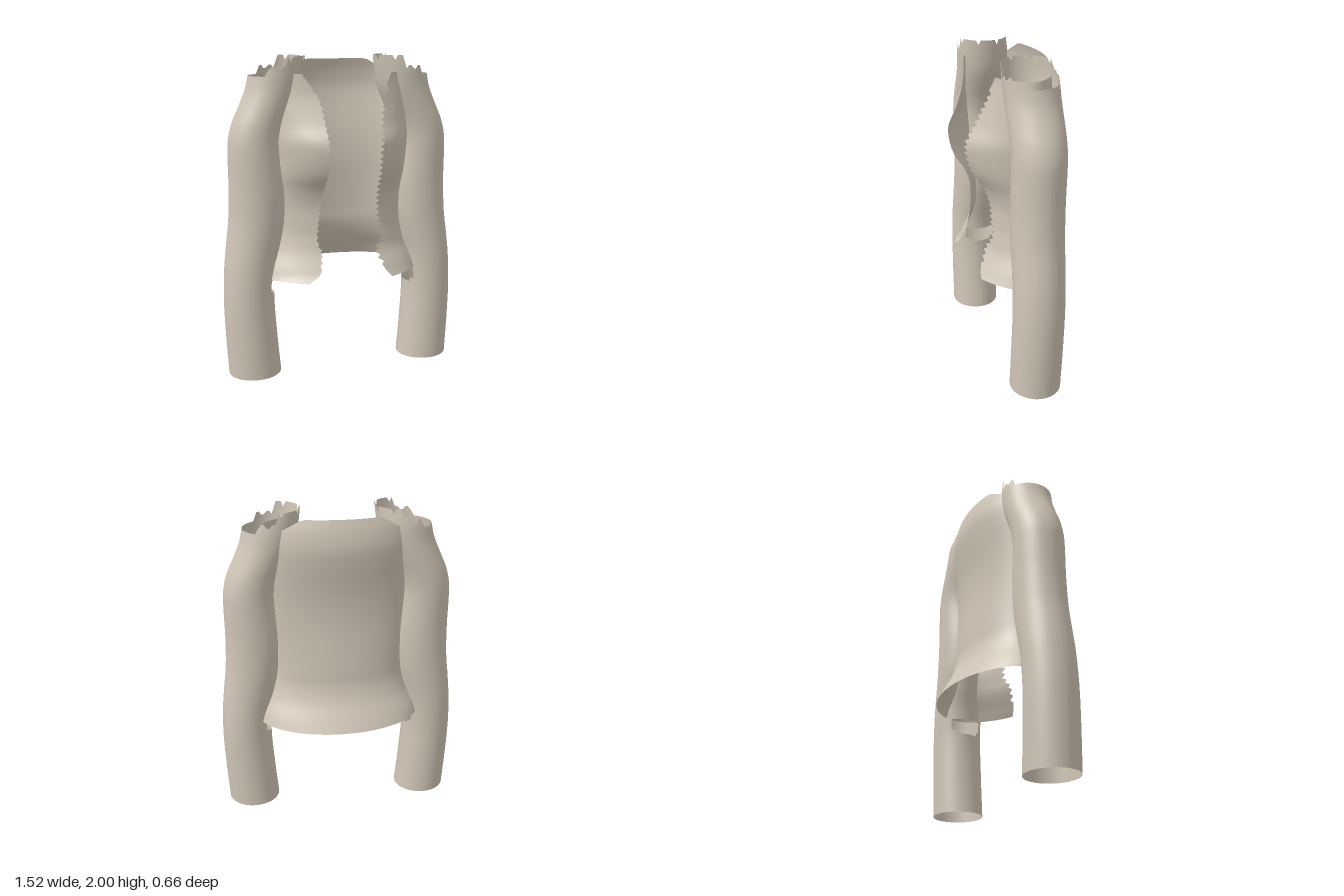
import * as THREE from 'three';

const cloth = new THREE.MeshStandardMaterial({ color: 0xd0c5b6, side: THREE.DoubleSide });
cloth.name = 'beige cloth';

// Smooth lookup in rows of [y, value, value, ...]
function sample(rows, y, k) {
  const n = rows.length - 1;
  let i = 0;
  while (i < n - 1 && y > rows[i + 1][0]) i++;
  const slope = (j) => {
    const p = rows[Math.max(j - 1, 0)], q = rows[Math.min(j + 1, n)];
    return (q[k] - p[k]) / (q[0] - p[0]);
  };
  const h = rows[i + 1][0] - rows[i][0];
  const t = Math.min(1, Math.max(0, (y - rows[i][0]) / h));
  const t2 = t * t, t3 = t2 * t;
  return rows[i][k] * (2 * t3 - 3 * t2 + 1) + rows[i + 1][k] * (3 * t2 - 2 * t3)
    + h * (slope(i) * (t3 - 2 * t2 + t) + slope(i + 1) * (t3 - t2));
}

// Open sheet from a point rule; keep(i, j) can leave cells out
function sheet(name, nu, nv, point, keep = () => true) {
  const pos = [], index = [];
  for (let j = 0; j <= nv; j++)
    for (let i = 0; i <= nu; i++) pos.push(...point(i, j));
  for (let j = 0; j < nv; j++)
    for (let i = 0; i < nu; i++) {
      if (!keep(i, j)) continue;
      const a = j * (nu + 1) + i, b = a + 1, c = a + nu + 1, d = c + 1;
      index.push(a, c, b, b, c, d);
    }
  const g = new THREE.BufferGeometry();
  g.setAttribute('position', new THREE.Float32BufferAttribute(pos, 3));
  g.setIndex(index);
  g.computeVertexNormals();
  const mesh = new THREE.Mesh(g, cloth);
  mesh.name = name;
  return mesh;
}

// Body: y, half width, back depth, front depth at the flap edge
const body = [
  [0.635, 0.53, 0.33, 0.27], [0.7, 0.51, 0.295, 0.25], [0.8, 0.46, 0.24, 0.21],
  [0.9, 0.43, 0.208, 0.182], [1.0, 0.42, 0.2, 0.18], [1.1, 0.422, 0.192, 0.185],
  [1.2, 0.427, 0.185, 0.22], [1.3, 0.435, 0.18, 0.285], [1.4, 0.44, 0.182, 0.32],
  [1.5, 0.447, 0.19, 0.325], [1.6, 0.452, 0.205, 0.275], [1.7, 0.457, 0.222, 0.235],
  [1.8, 0.46, 0.232, 0.2], [1.9, 0.45, 0.22, 0.172], [1.97, 0.43, 0.2, 0.165],
];
// Front edges: y, distance of right edge, distance of left edge
const edge = [
  [0.635, 0.27, 0.27], [0.68, 0.2, 0.23], [0.8, 0.17, 0.17], [0.88, 0.19, 0.21],
  [1.0, 0.18, 0.19], [1.2, 0.16, 0.175], [1.4, 0.145, 0.16], [1.55, 0.155, 0.17],
  [1.7, 0.17, 0.2], [1.77, 0.19, 0.225], [1.84, 0.24, 0.25], [1.9, 0.28, 0.28], [1.97, 0.31, 0.31],
];

function bodyPoint(i, j, nu, nv) {
  const u = (i / nu) * 2 - 1;                       // -1 right flap, 0 back, +1 left flap
  const top = Math.abs(u) < 0.24 ? 1.97 : Math.max(1.9, 1.97 - (Math.abs(u) - 0.24) * 0.6);
  const y = Math.min(top, 0.635 + (1.335 * j) / nv);
  const a = sample(body, y, 1), back = sample(body, y, 2), front = sample(body, y, 3);
  const torn = y > 0.7 && y < 1.8 && j % 2 ? (u > 0 ? 0.028 : 0.012) : 0;
  const plain = sample(edge, y, u < 0 ? 1 : 2);
  const end = Math.PI - Math.asin((plain + torn) / a);
  const t = u * end;
  const p = 1.2, depth = front / Math.pow(Math.sqrt(1 - (plain / a) ** 2), p);
  const c = Math.cos(t);
  return [a * Math.sin(t), y, c > 0 ? -back * c : depth * Math.pow(-c, p)];
}

// Sleeve: y, inner x, outer x, back z, front z
const sleeve = [
  [0, 0.41, 0.745, -0.13, 0.185], [0.25, 0.43, 0.757, -0.133, 0.182], [0.5, 0.443, 0.762, -0.136, 0.178],
  [0.7, 0.43, 0.752, -0.14, 0.174], [0.85, 0.395, 0.735, -0.143, 0.17], [1.0, 0.365, 0.716, -0.146, 0.167],
  [1.2, 0.355, 0.706, -0.148, 0.165], [1.4, 0.37, 0.705, -0.15, 0.164], [1.5, 0.37, 0.7, -0.152, 0.163],
  [1.6, 0.345, 0.675, -0.154, 0.162], [1.7, 0.3, 0.63, -0.156, 0.162], [1.8, 0.258, 0.588, -0.156, 0.164],
  [1.9, 0.236, 0.565, -0.152, 0.168], [2.0, 0.222, 0.55, -0.135, 0.168],
];

function makeSleeve(side) {
  const nu = 64, nv = 80;
  const inward = (i) => -Math.cos((i / nu) * Math.PI * 2); // 1 at the inner side
  const point = (i, j) => {
    const t = (i / nu) * Math.PI * 2 * -side;
    const k = inward(i);
    // Torn mouth: high on the inner half, low outside
    const tear = (i % 4 < 2) ? 0.02 : 0;
    const top = k > 0.1 ? 2.0 - (i % 8 === 3 ? 0.03 : 0) : k > -0.5 ? 1.92 + tear : 1.885;
    const y = Math.min(top, (2 * j) / nv);
    const [x0, x1, z0, z1] = [1, 2, 3, 4].map((n) => sample(sleeve, y, n));
    const x = (x0 + x1) / 2 + ((x1 - x0) / 2) * Math.cos(t);
    return [side * x, y, (z0 + z1) / 2 + ((z1 - z0) / 2) * Math.sin(t)];
  };
  // Notch on the inner side beside the hem
  const keep = (i, j) => {
    const y = (2 * j) / nv;
    return !(y > 0.5 && y < 0.61 && inward(i + 0.5) > (y < 0.55 ? 0.9 : 0.78));
  };
  return sheet(side > 0 ? 'leftSleeve' : 'rightSleeve', nu, nv, point, keep);
}

export function createModel() {
  const model = new THREE.Group();
  model.name = 'openJacket';
  const nu = 72, nv = 70;
  model.add(sheet('jacketBody', nu, nv, (i, j) => bodyPoint(i, j, nu, nv)));
  for (const side of [-1, 1]) model.add(makeSleeve(side));
  return model;
}
